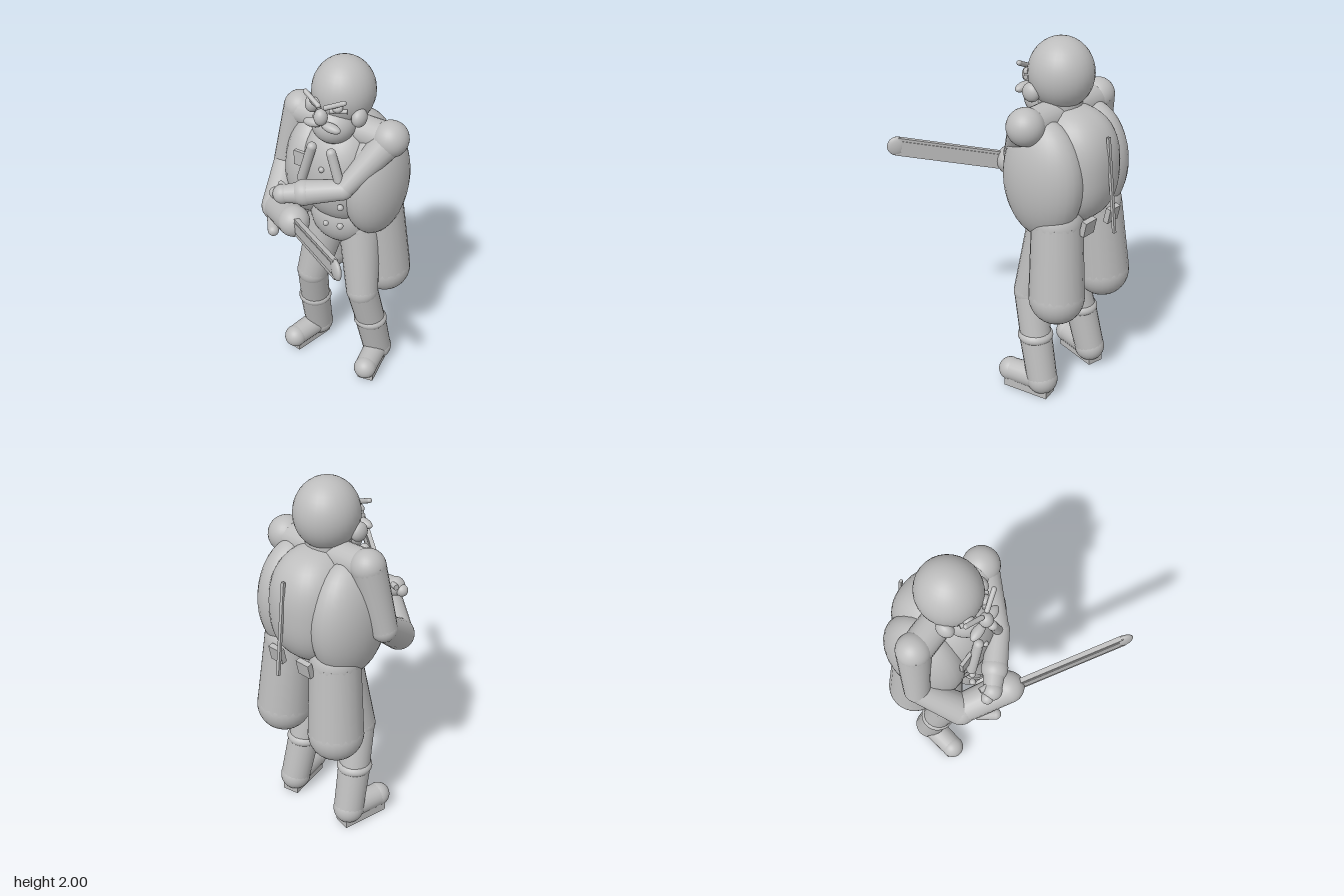
import * as THREE from 'three';

const grey = new THREE.MeshStandardMaterial({ color: 0xbdbdbd });
grey.name = 'plain grey';
const V = (a) => new THREE.Vector3(...a);
const CX = -0.03; // body centre line

export function createModel() {
  const root = new THREE.Group();
  root.name = 'standingOfficer';

  const add = (name, geo, pos = [0, 0, 0]) => {
    const m = new THREE.Mesh(geo, grey);
    m.name = name;
    m.position.set(...pos);
    root.add(m);
    return m;
  };
  const ball = (name, pos, rx, ry = rx, rz = rx) => {
    const m = add(name, new THREE.SphereGeometry(1, 28, 20), pos);
    m.scale.set(rx, ry, rz);
    return m;
  };
  // round rod from a to b with its own end radii
  const rod = (name, a, b, ra, rb = ra) => {
    const A = V(a), B = V(b), d = B.clone().sub(A);
    const m = add(name, new THREE.CylinderGeometry(rb, ra, d.length(), 20));
    m.position.copy(A).add(B).multiplyScalar(0.5);
    m.quaternion.setFromUnitVectors(new THREE.Vector3(0, 1, 0), d.normalize());
    return m;
  };
  // rod with a ball on both ends
  const capsule = (name, a, b, ra, rb = ra) => {
    rod(name, a, b, ra, rb);
    ball(name + 'Start', a, ra);
    ball(name + 'End', b, rb);
  };
  const box = (name, pos, size) => add(name, new THREE.BoxGeometry(...size), pos);
  // ellipsoid pushed towards a box by a power rule
  const bulge = (name, pos, rx, ry, rz, p) => {
    const g = new THREE.SphereGeometry(1, 40, 28), a = g.attributes.position;
    for (let i = 0; i < a.count; i++) {
      const v = new THREE.Vector3().fromBufferAttribute(a, i);
      const n = (Math.abs(v.x) ** p + Math.abs(v.y) ** p + Math.abs(v.z) ** p) ** (1 / p);
      a.setXYZ(i, (v.x / n) * rx, (v.y / n) * ry, (v.z / n) * rz);
    }
    g.computeVertexNormals();
    return add(name, g, pos);
  };

  // torso, hips and shoulders
  bulge('torso', [CX, 1.35, -0.265], 0.215, 0.31, 0.27, 2.5);
  ball('pelvis', [CX, 1.06, -0.22], 0.19, 0.18, 0.17);
  rod('shoulderYoke', [-0.31, 1.615, -0.22], [0.25, 1.605, -0.22], 0.085);
  rod('neck', [CX, 1.5, -0.2], [CX, 1.74, -0.2], 0.12);

  // head
  ball('head', [CX, 1.815, -0.21], 0.167, 0.185, 0.173);
  ball('jaw', [CX, 1.665, -0.115], 0.118, 0.105, 0.115);
  ball('nose', [CX, 1.755, 0.005], 0.036, 0.045, 0.036);

  for (const s of [-1, 1]) {
    const X = (d) => CX + s * d;
    // face
    ball('ear', [X(0.142), 1.73, -0.135], 0.038, 0.05, 0.05);
    ball('eye', [X(0.065), 1.8, -0.05], 0.028, 0.022, 0.028);
    const tache = ball('moustache', [X(0.055), 1.705, -0.005], 0.056, 0.024, 0.028);
    tache.rotation.z = -s * 0.12;
    capsule('eyebrow', [X(0.115), 1.852, -0.03], [X(0.022), 1.81, -0.005], 0.013);
    rod('cheekLine', [X(0.11), 1.785, -0.07], [X(0.03), 1.785, -0.025], 0.012);

    // coat
    ball('coatSide', [X(0.185), 1.31, -0.255], 0.16, 0.325, 0.235);
    capsule('coatTail', [X(0.165), 1.08, -0.335], [X(0.195), 0.66, -0.365], 0.135, 0.15);
    const tab = box('coatTab', [X(0.1), 1.08, -0.485], [0.085, 0.085, 0.03]);
    tab.rotation.x = -0.2;
    capsule('lapel', [X(0.06), 1.56, 0.0], [X(0.125), 1.35, 0.0], 0.026);
    for (const y of [1.12, 1.24, 1.36]) ball('button', [X(0.115), y, -0.005], 0.018);

    // legs
    const knee = [X(0.17), 0.6, -0.16], cuff = [X(0.196), 0.355, -0.22];
    const heel = [X(0.212), 0.092, -0.285], toe = [X(0.252), 0.085, -0.083];
    capsule('thigh', [X(0.1), 1.0, -0.23], knee, 0.12, 0.092);
    rod('shin', knee, cuff, 0.09, 0.086);
    ball('bootCuff', cuff, 0.098, 0.05, 0.098);
    rod('boot', cuff, heel, 0.09, 0.084);
    ball('heel', heel, 0.086);
    rod('foot', heel, toe, 0.07, 0.064);
    ball('toe', toe, 0.066);
    const sole = box('sole', [X(0.232), 0.03, -0.205], [0.095, 0.06, 0.27]);
    sole.rotation.y = s * 0.2;
  }
  ball('collarButton', [CX, 1.44, 0.0], 0.016);
  ball('lowerButton', [CX + 0.02, 1.1, -0.01], 0.016);
  box('chestPocket', [-0.17, 1.45, -0.02], [0.085, 0.085, 0.02]);

  // thin strip down the back
  const strip = box('backStrip', [CX, 1.295, -0.548], [0.018, 0.515, 0.014]);
  strip.rotation.x = 0.118;

  // right arm, holding the sword
  const rElbow = [-0.385, 1.285, -0.18], rWrist = [-0.305, 1.125, 0.03], rHand = [-0.085, 1.2, 0.18];
  capsule('rightUpperArm', [-0.315, 1.625, -0.225], rElbow, 0.09, 0.07);
  capsule('rightForearm', rElbow, rWrist, 0.068, 0.085);
  capsule('rightCuff', rWrist, rHand, 0.08, 0.085);
  capsule('rightThumb', [-0.27, 1.1, 0.12], [-0.215, 1.09, 0.19], 0.03);

  // left arm, folded across the chest
  const lElbow = [0.1, 1.36, -0.005], lWrist = [-0.08, 1.33, 0.09], lHand = [-0.18, 1.315, 0.145];
  ball('leftShoulder', [0.25, 1.61, -0.22], 0.098);
  rod('leftUpperArm', [0.25, 1.61, -0.22], lElbow, 0.088, 0.052);
  ball('leftElbow', lElbow, 0.055);
  rod('leftForearm', lElbow, lWrist, 0.055, 0.068);
  ball('leftCuff', lWrist, 0.07);
  rod('leftWrist', lWrist, lHand, 0.06, 0.048);
  ball('leftHand', lHand, 0.052);
  ball('leftThumb', [-0.225, 1.305, 0.145], 0.033);
  rod('leftFinger', [-0.225, 1.34, 0.1], [-0.15, 1.34, 0.13], 0.016);

  // sword: local x runs along the blade, local y is its height
  const A = V([-0.06, 1.198, 0.205]), B = V([0.42, 1.34, 0.55]);
  const along = B.clone().sub(A), len = along.length();
  along.normalize();
  const side = along.clone().cross(new THREE.Vector3(0, 1, 0)).normalize();
  const up = side.clone().cross(along);
  const sword = new THREE.Group();
  sword.name = 'sword';
  sword.position.copy(A);
  sword.quaternion.setFromRotationMatrix(new THREE.Matrix4().makeBasis(along, up, side));
  root.add(sword);
  const blade = new THREE.Mesh(new THREE.BoxGeometry(len, 0.1, 0.026), grey);
  blade.name = 'blade';
  blade.position.x = len / 2;
  const edge = new THREE.Mesh(new THREE.BoxGeometry(len * 0.92, 0.06, 0.034), grey);
  edge.name = 'bladeRidge';
  edge.position.set(len * 0.5, 0.005, 0);
  const tip = new THREE.Mesh(new THREE.SphereGeometry(1, 24, 16), grey);
  tip.name = 'bladeTip';
  tip.position.x = len;
  tip.scale.set(0.052, 0.054, 0.02);
  sword.add(blade, edge, tip);

  return root;
}
